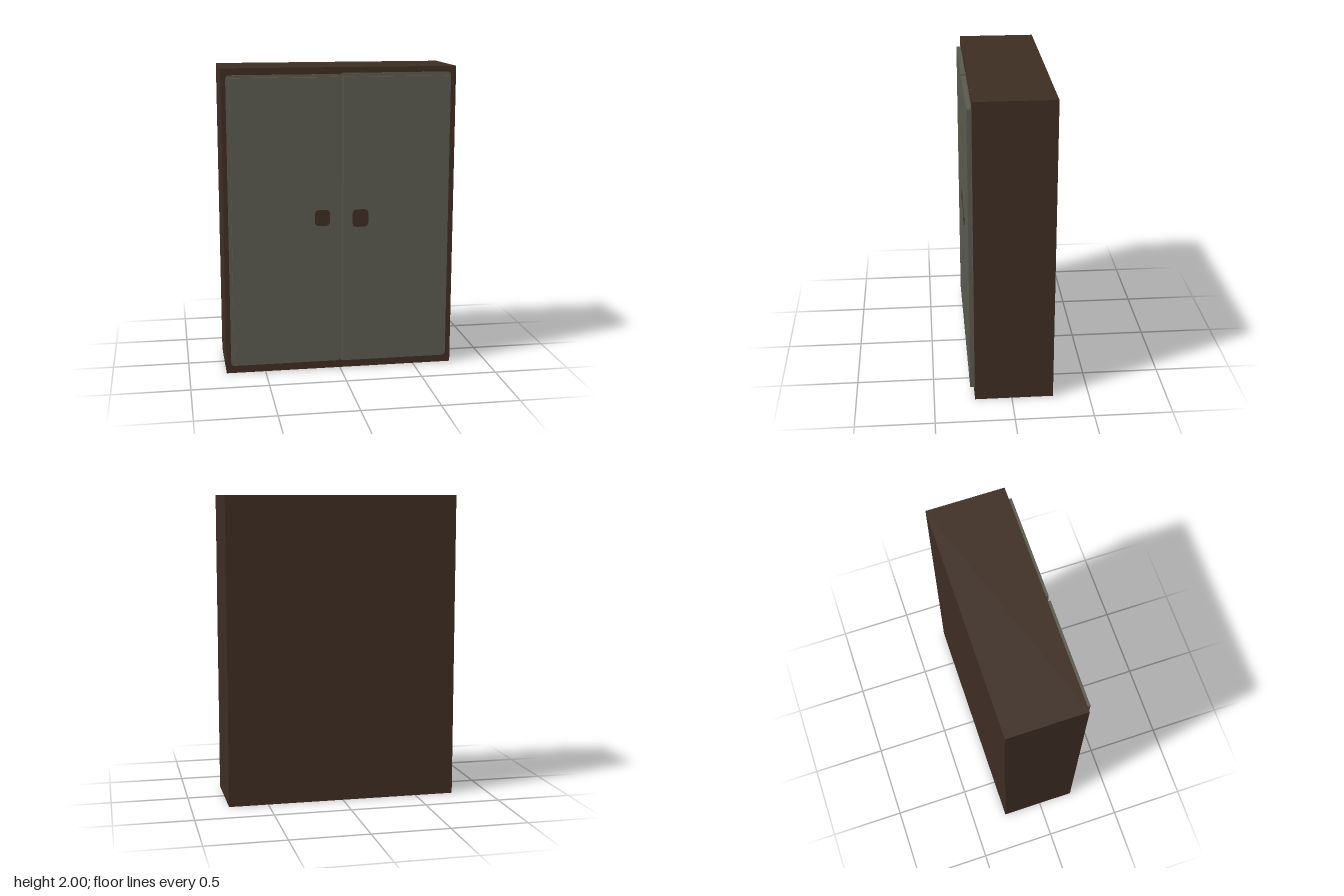
import * as THREE from 'three';

export function createModel() {
  const group = new THREE.Group();
  const wood = new THREE.MeshStandardMaterial({ name: 'dark brown wood', color: 0x3d2d23 });
  const grey = new THREE.MeshStandardMaterial({ name: 'grey door paint', color: 0x5a594f });

  function add(name, geometry, material, x, y, z) {
    const mesh = new THREE.Mesh(geometry, material);
    mesh.name = name;
    mesh.position.set(x, y, z);
    group.add(mesh);
  }

  // Flat plate with softened corners, from x0,y0 to x1,y1, its back at z
  function plate(name, x0, x1, y0, y1, r, z, material) {
    const w = (x1 - x0) / 2, h = (y1 - y0) / 2;
    const s = new THREE.Shape();
    s.moveTo(-w + r, -h);
    s.lineTo(w - r, -h);
    s.quadraticCurveTo(w, -h, w, -h + r);
    s.lineTo(w, h - r);
    s.quadraticCurveTo(w, h, w - r, h);
    s.lineTo(-w + r, h);
    s.quadraticCurveTo(-w, h, -w, h - r);
    s.lineTo(-w, -h + r);
    s.quadraticCurveTo(-w, -h, -w + r, -h);
    const geometry = new THREE.ExtrudeGeometry(s, { depth: 0.002, bevelEnabled: false, curveSegments: 3 });
    add(name, geometry, material, (x0 + x1) / 2, (y0 + y1) / 2, z);
  }

  // Cabinet body
  add('cabinetBody', new THREE.BoxGeometry(1.514, 2, 0.505), wood, 0, 1, -0.0145);

  // Painted surrounds behind the doors
  plate('rightSurround', -0.727, 0.003, 0.049, 1.957, 0.025, 0.238, grey);
  plate('leftSurround', -0.003, 0.724, 0.047, 1.964, 0.025, 0.238, grey);

  // Raised doors
  for (const [name, side] of [['leftDoor', 1], ['rightDoor', -1]]) {
    add(name, new THREE.BoxGeometry(0.69, 1.88, 0.028), grey, side * 0.361, 1, 0.252);
  }

  // Painted handles
  plate('rightHandle', -0.17, -0.07, 0.98, 1.087, 0.03, 0.265, wood);
  plate('leftHandle', 0.077, 0.183, 0.967, 1.083, 0.03, 0.265, wood);

  return group;
}
